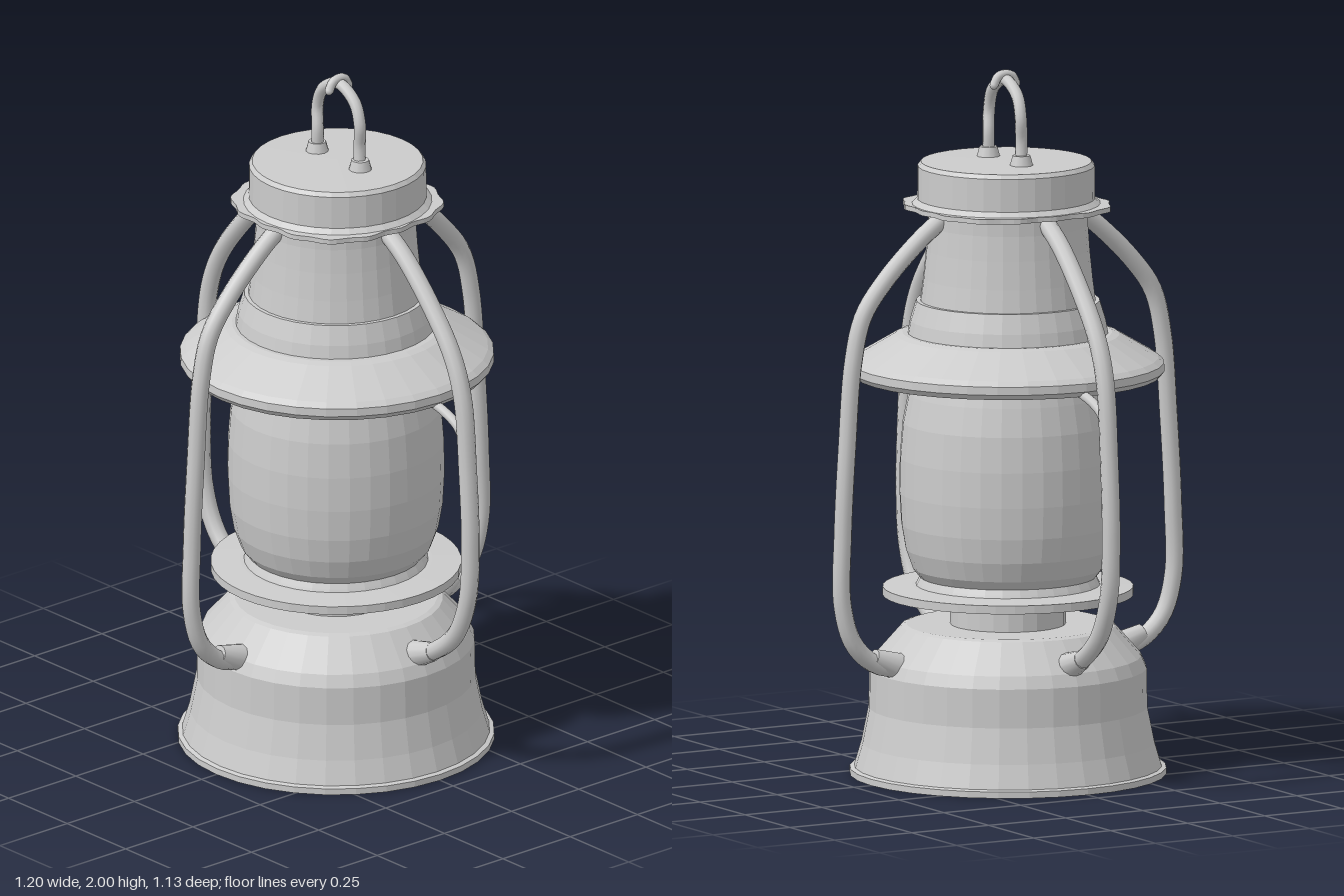
import * as THREE from 'three';

const facetedMat = new THREE.MeshStandardMaterial({ color: 0xcccccc, flatShading: true });
const smoothMat = new THREE.MeshStandardMaterial({ color: 0xcccccc });

export function createModel() {
  const lantern = new THREE.Group();
  lantern.name = 'lantern';

  const add = (name, geometry, material = facetedMat, parent = lantern) => {
    const mesh = new THREE.Mesh(geometry, material);
    mesh.name = name;
    parent.add(mesh);
    return mesh;
  };
  // Profiles are [radius, height] pairs from bottom to top
  const turned = (name, profile, sides = 32) =>
    add(name, new THREE.LatheGeometry(profile.map(([r, y]) => new THREE.Vector2(r, y)), sides));
  const tube = (name, points, radius, parent, segments = 40) => {
    const curve = new THREE.CatmullRomCurve3(points.map(p => new THREE.Vector3(...p)));
    return add(name, new THREE.TubeGeometry(curve, segments, radius, 10), smoothMat, parent);
  };

  // Fuel tank with flared foot and sloping shoulder
  turned('fuelTank', [
    [0, 0], [0.445, 0], [0.445, 0.018], [0.432, 0.022], [0.412, 0.09], [0.392, 0.19],
    [0.39, 0.3], [0.375, 0.335], [0.3, 0.42], [0.285, 0.425], [0, 0.425],
  ]);
  turned('burnerNeck', [[0, 0.41], [0.162, 0.41], [0.162, 0.51], [0, 0.51]], 24);
  turned('burnerPlate', [[0, 0.508], [0.352, 0.508], [0.352, 0.532], [0.27, 0.537], [0, 0.537]], 40);

  // Barrel-shaped globe on a small seat
  turned('globeSeat', [[0, 0.53], [0.262, 0.53], [0.255, 0.545], [0.245, 0.565], [0, 0.565]]);
  turned('globe', [
    [0, 0.55], [0.24, 0.55], [0.268, 0.585], [0.288, 0.64], [0.3, 0.71], [0.305, 0.8],
    [0.304, 0.9], [0.296, 1.0], [0.28, 1.08], [0.265, 1.14], [0, 1.14],
  ]);

  // Conical shade with a rounded rim
  const shade = turned('shade', [
    [0, 1.135], [0.4, 1.13], [0.43, 1.13], [0.442, 1.145], [0.441, 1.168], [0.425, 1.182],
    [0.315, 1.247], [0.295, 1.253], [0, 1.253],
  ]);
  shade.position.x = 0.004;

  // Chimney: collar, then a tapering stack
  turned('chimneyCollar', [[0, 1.24], [0.284, 1.24], [0.275, 1.29], [0.258, 1.345], [0, 1.35]]);
  turned('chimneyStack', [
    [0, 1.34], [0.247, 1.34], [0.238, 1.41], [0.23, 1.49], [0.225, 1.56], [0.225, 1.62], [0, 1.62],
  ]);

  // Thin scalloped flange under the cap
  const scallop = new THREE.Shape();
  for (let i = 0; i < 96; i++) {
    const a = (i / 96) * Math.PI * 2;
    const r = 0.283 - 0.012 * Math.cos(4 * a) + 0.005 * Math.cos(16 * a);
    scallop[i ? 'lineTo' : 'moveTo'](r * Math.cos(a), r * Math.sin(a));
  }
  scallop.closePath();
  const flange = new THREE.ExtrudeGeometry(scallop, { depth: 0.014, bevelEnabled: false });
  flange.rotateX(-Math.PI / 2).translate(0, 1.607, -0.004);
  add('scallopedFlange', flange);

  const cap = turned('cap', [
    [0, 1.61], [0.268, 1.618], [0.25, 1.635], [0.249, 1.728], [0.24, 1.74], [0, 1.742],
  ]);
  cap.position.z = -0.006;

  // Guard tubes: x pair bows wider than z pair
  const sidePath = [
    [0.21, 1.595], [0.29, 1.54], [0.4, 1.43], [0.495, 1.305], [0.54, 1.19], [0.563, 0.97],
    [0.574, 0.75], [0.562, 0.58], [0.51, 0.46], [0.42, 0.385], [0.32, 0.345],
  ];
  const frontPath = [
    [0.21, 1.595], [0.29, 1.535], [0.4, 1.43], [0.47, 1.335], [0.502, 1.21], [0.522, 0.97],
    [0.536, 0.72], [0.537, 0.52], [0.5, 0.405], [0.425, 0.34], [0.34, 0.325],
  ];
  ['left', 'back', 'right', 'front'].forEach((side, i) => {
    const guard = new THREE.Group();
    guard.name = side + 'Guard';
    guard.rotation.y = (i * Math.PI) / 2;
    const path = i % 2 ? frontPath : sidePath;
    tube(side + 'GuardTube', path.map(([r, y]) => [r, y, 0]), 0.026, guard, 60);
    // Flared socket where the tube meets the tank
    const [endR, endY] = path[path.length - 1];
    const socket = add(side + 'GuardSocket', new THREE.CylinderGeometry(0.027, 0.042, 0.1, 12), smoothMat, guard);
    socket.position.set(endR + 0.05, endY + 0.018, 0);
    socket.rotation.z = -1.2;
    // Short brace from the side tubes to the shade rim
    if (i % 2 === 0) {
      tube(side + 'Brace', [[0.545, 1.06, 0], [0.52, 1.095, 0], [0.47, 1.12, 0], [0.39, 1.14, 0]], 0.014, guard, 12);
    }
    lantern.add(guard);
  });

  // Hanging loop with feet and a small hooked crest
  const loop = new THREE.Group();
  loop.name = 'hangingLoop';
  loop.position.z = -0.01;
  lantern.add(loop);
  tube('loopWire', [
    [-0.09, 1.745, 0], [-0.086, 1.81, 0.003], [-0.095, 1.875, -0.004], [-0.068, 1.935, 0], [0, 1.972, 0],
    [0.068, 1.935, 0], [0.095, 1.875, 0.004], [0.086, 1.81, -0.003], [0.09, 1.745, 0],
  ], 0.017, loop);
  for (const s of [-1, 1]) {
    const foot = add('loopFoot', new THREE.CylinderGeometry(0.025, 0.033, 0.03, 12), smoothMat, loop);
    foot.position.set(s * 0.092, 1.754, 0);
    const tip = add('crestTip', new THREE.SphereGeometry(0.012, 10, 8), smoothMat, loop);
    tip.position.set(0, 1.958, s * 0.036);
  }
  tube('loopCrest', [[0, 1.958, -0.036], [0, 1.981, -0.022], [0, 1.987, 0], [0, 1.981, 0.022], [0, 1.958, 0.036]], 0.013, loop, 14);

  return lantern;
}
